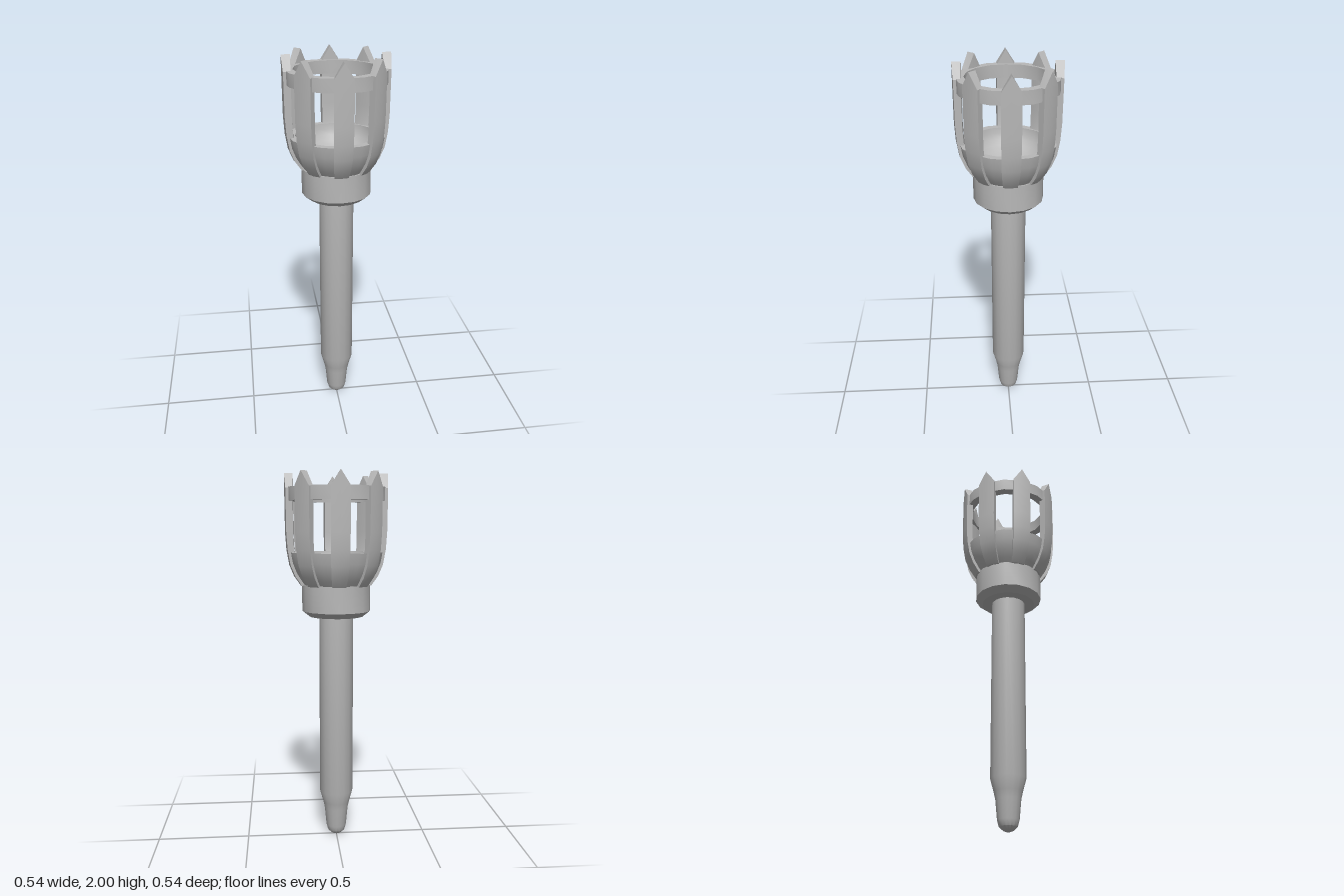
import * as THREE from 'three';
import { toCreasedNormals } from 'three/addons/utils/BufferGeometryUtils.js';

const CREASE = 0.6;

function lathe(name, profile, material) {
  const points = profile.map(([r, y]) => new THREE.Vector2(r, y));
  const mesh = new THREE.Mesh(toCreasedNormals(new THREE.LatheGeometry(points, 16), CREASE), material);
  mesh.name = name;
  return mesh;
}

// Curved bar with a ridged outer face and a pointed top, facing +z
function prongGeometry() {
  // side y, ridge y, outer radius, inner radius, half width
  const sections = [
    [1.42, 1.42, 0.19, 0.14, 0.036],
    [1.47, 1.47, 0.225, 0.17, 0.042],
    [1.53, 1.53, 0.25, 0.2, 0.046],
    [1.61, 1.61, 0.264, 0.222, 0.048],
    [1.7, 1.7, 0.27, 0.226, 0.049],
    [1.925, 2, 0.272, 0.226, 0.049],
  ];
  const positions = [], index = [];
  for (const [ySide, yMid, out, inn, w] of sections) {
    positions.push(-w, ySide, out - 0.006, 0, yMid, out, w, ySide, out - 0.006);
    positions.push(w * 0.9, ySide, inn + 0.003, 0, yMid, inn, -w * 0.9, ySide, inn + 0.003);
  }
  const quad = (a, b, c, d) => index.push(a, b, c, a, c, d);
  for (let s = 0; s < sections.length - 1; s++) {
    for (let i = 0; i < 6; i++) {
      const a = s * 6 + i, b = s * 6 + (i + 1) % 6;
      quad(a, b, b + 6, a + 6);
    }
  }
  const t = (sections.length - 1) * 6;
  quad(t, t + 1, t + 4, t + 5);
  quad(t + 1, t + 2, t + 3, t + 4);
  quad(5, 4, 1, 0);
  quad(4, 3, 2, 1);
  const geometry = new THREE.BufferGeometry();
  geometry.setAttribute('position', new THREE.Float32BufferAttribute(positions, 3));
  geometry.setIndex(index);
  return toCreasedNormals(geometry, 0.4);
}

export function createModel() {
  const group = new THREE.Group();
  group.name = 'torch';
  const grey = new THREE.MeshStandardMaterial({ color: 0xb8b8b8 });
  grey.name = 'grey metal';

  // Shaft with a tapered, rounded foot
  group.add(lathe('shaft', [
    [0, 0], [0.025, 0.008], [0.047, 0.028], [0.056, 0.06],
    [0.065, 0.16], [0.074, 0.2], [0.092, 0.265], [0.092, 1.27],
  ], grey));

  // Collar with a bevelled lower edge
  group.add(lathe('collar', [
    [0, 1.255], [0.145, 1.255], [0.183, 1.285], [0.183, 1.425], [0, 1.425],
  ], grey));

  // Open bowl: outer curve up, flat rim, rounded hollow
  const bowl = [[0.165, 1.41], [0.195, 1.45], [0.22, 1.49], [0.24, 1.54], [0.25, 1.595]];
  for (let i = 0; i <= 8; i++) {
    const a = (i / 8) * Math.PI / 2;
    bowl.push([0.212 * Math.cos(a), 1.595 - 0.155 * Math.sin(a)]);
  }
  group.add(lathe('bowl', bowl, grey));

  // Upper hoop joining the prongs
  group.add(lathe('hoop', [
    [0.216, 1.86], [0.26, 1.86], [0.26, 1.928], [0.216, 1.928], [0.216, 1.86],
  ], grey));

  // Eight prongs around the bowl
  const prongs = new THREE.Group();
  prongs.name = 'prongs';
  const geometry = prongGeometry();
  for (let i = 0; i < 8; i++) {
    const prong = new THREE.Mesh(geometry, grey);
    prong.name = 'prong';
    prong.rotation.y = i * Math.PI / 4;
    prongs.add(prong);
  }
  group.add(prongs);
  return group;
}
